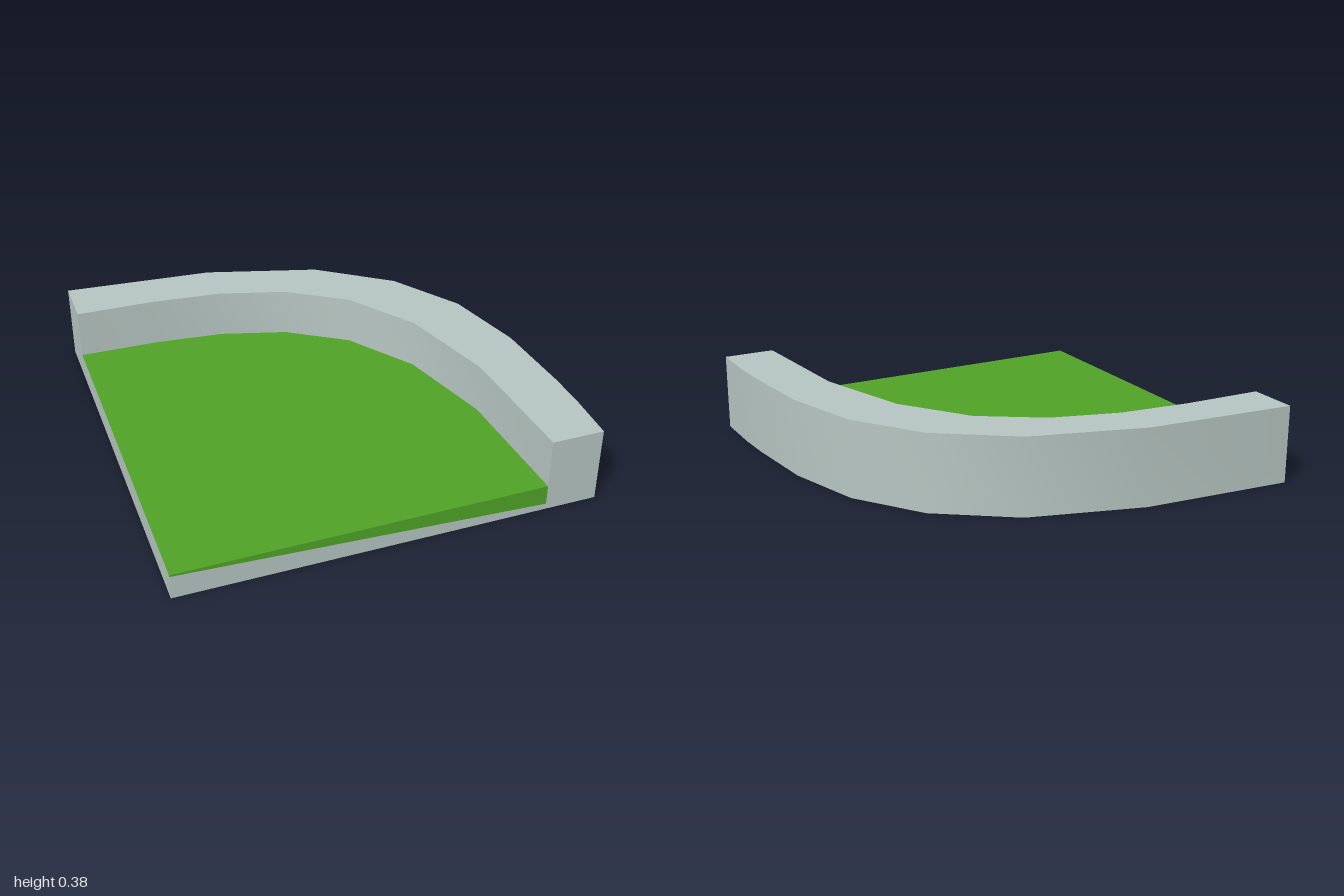
import * as THREE from 'three';

const FLOOR = 0.13, TOP = 0.375;

// Plan outlines of the curved wall as [x, z], from the back end to the front end
const outer = [[-1, -1], [-0.27, -0.94], [0.27, -0.78], [0.62, -0.53], [0.84, -0.21], [0.95, 0.17], [0.99, 0.56], [1, 0.74], [1, 1]];
const inner = [[-1, -0.755], [-0.61, -0.745], [-0.27, -0.71], [0.05, -0.615], [0.335, -0.43], [0.56, -0.11], [0.7, 0.355], [0.75, 1]];

// Flat face facing +z
const face = (points) => new THREE.ShapeGeometry(new THREE.Shape(points.map(([x, y]) => new THREE.Vector2(x, y))));

// Horizontal face facing up
const level = (plan, y) => face(plan.map(([x, z]) => [x, -z])).rotateX(-Math.PI / 2).translate(0, y, 0);

// Smooth upright band following a plan outline
function band(plan, y0, y1) {
  const positions = [], index = [];
  plan.forEach(([x, z], i) => {
    positions.push(x, y0, z, x, y1, z);
    const a = i * 2;
    if (i < plan.length - 1) index.push(a, a + 1, a + 3, a, a + 3, a + 2);
  });
  const geometry = new THREE.BufferGeometry();
  geometry.setAttribute('position', new THREE.Float32BufferAttribute(positions, 3));
  geometry.setIndex(index);
  geometry.computeVertexNormals();
  return geometry;
}

export function createModel() {
  const stone = new THREE.MeshStandardMaterial({ color: 0xb7c6c2 });
  stone.name = 'paleStone';
  const grass = new THREE.MeshStandardMaterial({ color: 0x50a326 });
  grass.name = 'grassGreen';

  const group = new THREE.Group();
  group.name = 'curvedCorner';
  const add = (name, geometry, material) => {
    const mesh = new THREE.Mesh(geometry, material);
    mesh.name = name;
    group.add(mesh);
  };
  const innerBack = [...inner].reverse();

  // Curved wall
  add('outerWall', band(outer, 0, TOP), stone);
  add('innerWall', band(innerBack, FLOOR, TOP), stone);
  add('wallRim', level([...outer, ...innerBack], TOP), stone);

  // Floor and underside
  add('floor', level([...inner, [-1, 1]], FLOOR), grass);
  add('underside', face([...outer, [-1, 1]]).rotateX(Math.PI / 2), stone);

  // Front end with the tapering grass strip
  add('frontEnd', face([[-1, 0], [1, 0], [1, TOP], [0.75, TOP], [0.75, 0.03], [-1, 0.12]]).translate(0, 0, 1), stone);
  add('frontGrass', face([[-1, 0.12], [0.75, 0.03], [0.75, FLOOR], [-1, FLOOR]]).translate(0, 0, 1), grass);

  // Side end, drawn as [z, y]
  add('sideEnd', face([[-1, 0], [1, 0], [1, FLOOR], [-0.755, FLOOR], [-0.755, TOP], [-1, TOP]])
    .rotateY(-Math.PI / 2).translate(-1, 0, 0), stone);

  return group;
}
